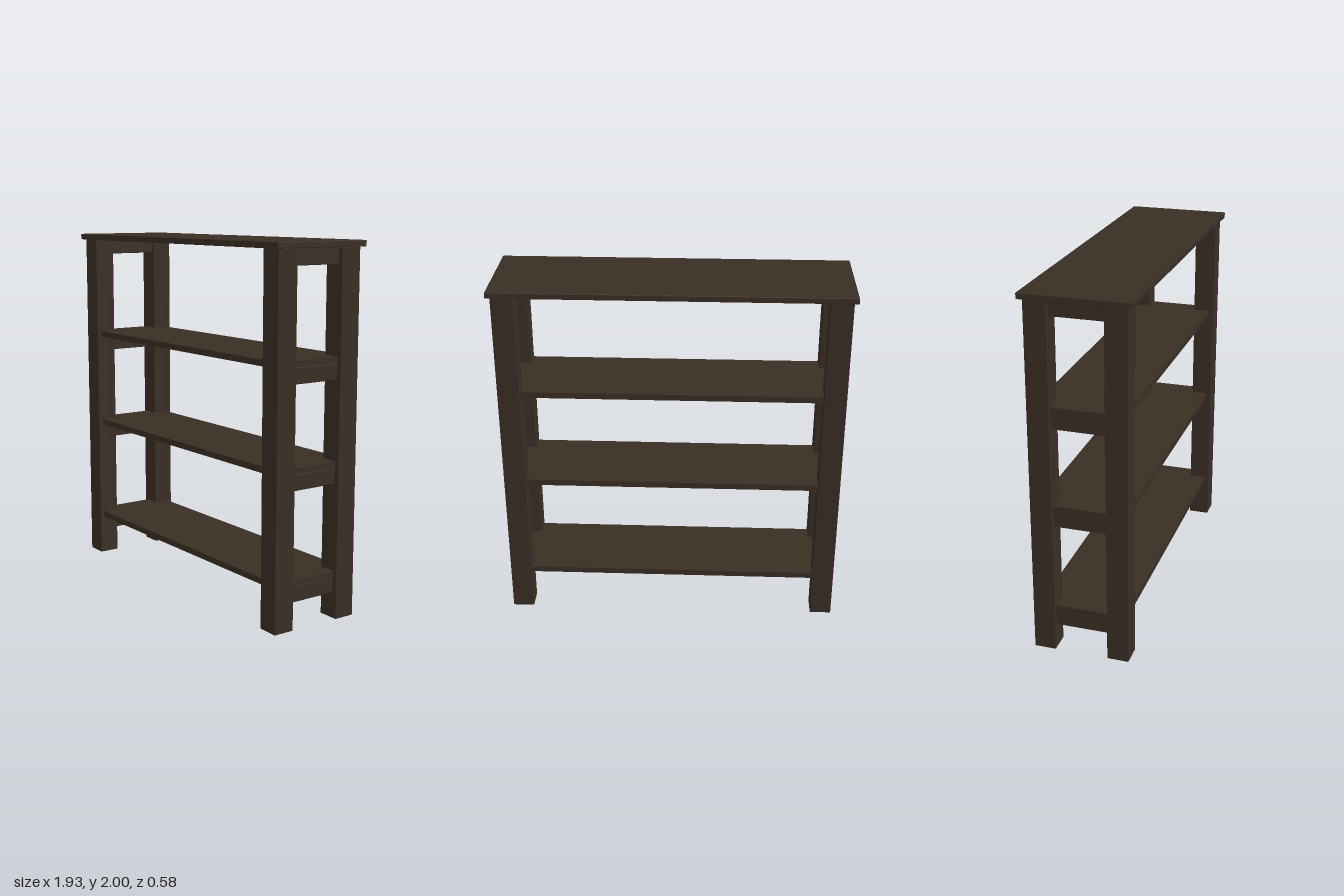
import * as THREE from 'three';
import { RoundedBoxGeometry } from 'three/addons/geometries/RoundedBoxGeometry.js';

export function createModel() {
  const model = new THREE.Group();
  model.name = 'shelfUnit';
  const darkWood = new THREE.MeshStandardMaterial({ color: 0x392e24 });
  darkWood.name = 'darkWood';

  // Board with slightly eased edges, placed by its centre
  function board(name, w, h, d, x, y, z) {
    const mesh = new THREE.Mesh(new RoundedBoxGeometry(w, h, d, 1, 0.004), darkWood);
    mesh.name = name;
    mesh.position.set(x, y, z);
    model.add(mesh);
  }

  const postInX = 0.824, postOutX = 0.946, postInZ = 0.146, postOutZ = 0.266;
  const thick = 0.034, topY = 1.967, railH = 0.087;
  const shelfY = [0.228, 0.823, 1.374]; // undersides

  // Table top
  board('top', 1.934, 2 - topY, 0.58, 0, (2 + topY) / 2, 0);

  // Four corner posts, and the short rails joining each side pair
  for (const sx of [-1, 1]) {
    const side = sx > 0 ? 'left' : 'right';
    for (const sz of [-1, 1]) {
      board(side + (sz > 0 ? 'FrontPost' : 'BackPost'),
        postOutX - postInX, topY, postOutZ - postInZ,
        sx * (postInX + postOutX) / 2, topY / 2, sz * (postInZ + postOutZ) / 2);
    }
    [...shelfY, topY].forEach((y, i) =>
      board(side + 'Rail' + (i + 1), 0.07, railH, postInZ * 2 + 0.01, sx * 0.883, y - railH / 2, 0));
  }

  // Shelves notched at the corners to fit around the posts
  const endX = 0.921, edgeZ = 0.238;
  const outline = new THREE.Shape([
    [-postInX, -edgeZ], [postInX, -edgeZ], [postInX, -postInZ], [endX, -postInZ],
    [endX, postInZ], [postInX, postInZ], [postInX, edgeZ], [-postInX, edgeZ],
    [-postInX, postInZ], [-endX, postInZ], [-endX, -postInZ], [-postInX, -postInZ],
  ].map(([x, z]) => new THREE.Vector2(x, z)));
  const shelfGeometry = new THREE.ExtrudeGeometry(outline, { depth: thick, bevelEnabled: false });
  shelfGeometry.rotateX(-Math.PI / 2);
  shelfY.forEach((y, i) => {
    const shelf = new THREE.Mesh(shelfGeometry, darkWood);
    shelf.name = 'shelf' + (i + 1);
    shelf.position.y = y;
    model.add(shelf);
  });

  return model;
}
